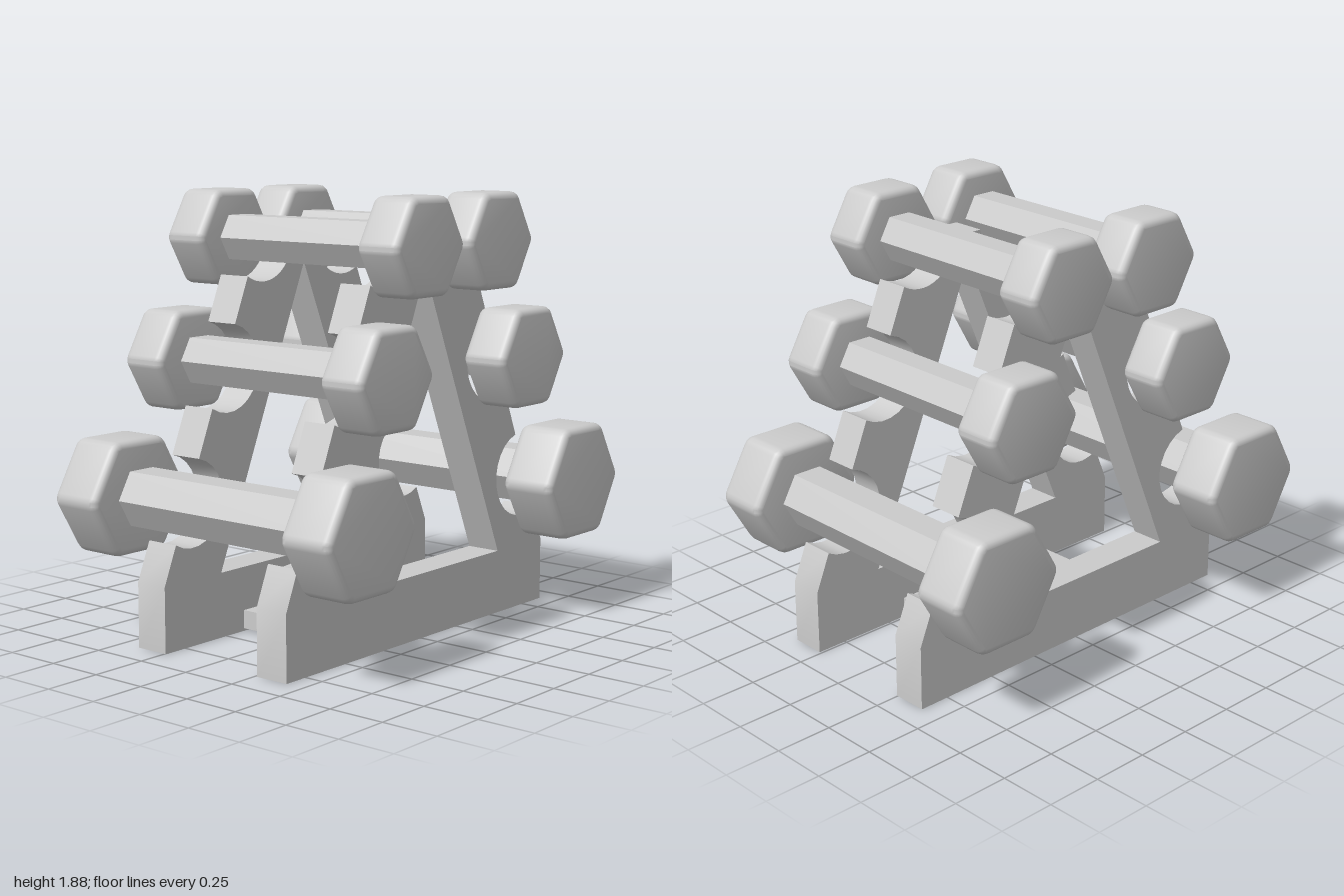
import * as THREE from 'three';
import { toCreasedNormals } from 'three/addons/utils/BufferGeometryUtils.js';

const material = new THREE.MeshStandardMaterial({ color: 0xcccccc });
const flatMaterial = new THREE.MeshStandardMaterial({ color: 0xcccccc, flatShading: true });

function addMesh(parent, name, geometry, mat = material) {
  const mesh = new THREE.Mesh(geometry, mat);
  mesh.name = name;
  parent.add(mesh);
  return mesh;
}

// Hexagon with slightly rounded corners, points towards +-x
function hexShape(apothem) {
  const radius = apothem / Math.cos(Math.PI / 6);
  const corner = i => new THREE.Vector2(Math.cos(i * Math.PI / 3), Math.sin(i * Math.PI / 3)).multiplyScalar(radius);
  const shape = new THREE.Shape();
  for (let i = 0; i < 6; i++) {
    const c = corner(i);
    const a = c.clone().lerp(corner(i + 5), 0.07);
    const b = c.clone().lerp(corner(i + 1), 0.07);
    if (i === 0) shape.moveTo(a.x, a.y);
    else shape.lineTo(a.x, a.y);
    shape.quadraticCurveTo(c.x, c.y, b.x, b.y);
  }
  shape.closePath();
  return shape;
}

// Hexagonal weight with rounded rims, lying along x
function headGeometry(apothem, width) {
  const bevel = 0.028, thickness = 0.035;
  const depth = width - 2 * thickness;
  const geometry = new THREE.ExtrudeGeometry(hexShape(apothem - bevel), {
    depth, curveSegments: 3, bevelSize: bevel, bevelThickness: thickness, bevelSegments: 4,
  });
  geometry.translate(0, 0, -depth / 2);
  geometry.rotateY(Math.PI / 2);
  return toCreasedNormals(geometry, 0.6);
}

function createDumbbell({ y, z, barRadius, apothem, width, outer, x }) {
  const group = new THREE.Group();
  group.name = 'dumbbell';
  const bar = new THREE.CylinderGeometry(barRadius, barRadius, 2 * (outer - width / 2), 6);
  bar.rotateZ(Math.PI / 2);
  addMesh(group, 'handle', bar, flatMaterial);
  const head = headGeometry(apothem, width);
  for (const side of [-1, 1]) {
    addMesh(group, side > 0 ? 'leftWeight' : 'rightWeight', head).position.x = side * (outer - width / 2);
  }
  group.position.set(x, y, z);
  return group;
}

// A-shaped side panel with round cradles cut into both sloping edges
function frameGeometry(width) {
  const slope = 0.417, foot = 0.877, footHeight = 0.28, cradle = 0.187, inset = 0.03;
  const normal = Math.atan2(slope, 1);
  const alpha = Math.acos(inset / cradle);
  const half = [[foot, 0], [foot, footHeight]];
  [0.615, 1.155, 1.69].forEach((y, level) => {
    const cu = foot - slope * (y - footHeight) - inset * Math.cos(normal);
    const cy = y - inset * Math.sin(normal);
    const start = normal - alpha;
    const end = level === 2 ? -Math.PI : normal + alpha - 2 * Math.PI;
    for (let i = 0; i <= 14; i++) {
      const a = start + (end - start) * i / 14;
      half.push([cu + cradle * Math.cos(a), cy + cradle * Math.sin(a)]);
    }
  });
  const outline = [...half, ...half.map(([u, y]) => [-u, y]).reverse()];
  const shape = new THREE.Shape(outline.map(p => new THREE.Vector2(...p)));
  shape.holes.push(new THREE.Path([[0.54, 0.28], [0, 1.56], [-0.54, 0.28]].map(p => new THREE.Vector2(...p))));
  const geometry = new THREE.ExtrudeGeometry(shape, { depth: width, bevelEnabled: false });
  geometry.translate(0, 0, -width / 2);
  geometry.rotateY(-Math.PI / 2);
  return toCreasedNormals(geometry, 0.5);
}

export function createModel() {
  const model = new THREE.Group();
  model.name = 'dumbbellRack';

  // Rack: two side panels joined by a floor plate
  const rack = new THREE.Group();
  rack.name = 'rack';
  rack.position.set(0.008, 0, -0.012);
  model.add(rack);
  const panel = frameGeometry(0.154);
  for (const side of [-1, 1]) {
    addMesh(rack, side > 0 ? 'leftPanel' : 'rightPanel', panel).position.x = side * 0.33;
  }
  addMesh(rack, 'floorPlate', new THREE.BoxGeometry(0.508, 0.08, 0.8)).position.y = 0.05;

  // Three sizes of dumbbell on the front and back slopes
  const sizes = [
    { y: 0.607, z: 0.732, barRadius: 0.133, apothem: 0.242, width: 0.245, outer: 0.748, x: -0.002 },
    { y: 1.17, z: 0.47, barRadius: 0.11, apothem: 0.21, width: 0.21, outer: 0.64, x: 0.015 },
    { y: 1.675, z: 0.242, barRadius: 0.108, apothem: 0.201, width: 0.206, outer: 0.623, x: 0.018 },
  ];
  for (const size of sizes) {
    for (const side of [1, -1]) model.add(createDumbbell({ ...size, z: side * size.z }));
  }
  return model;
}
